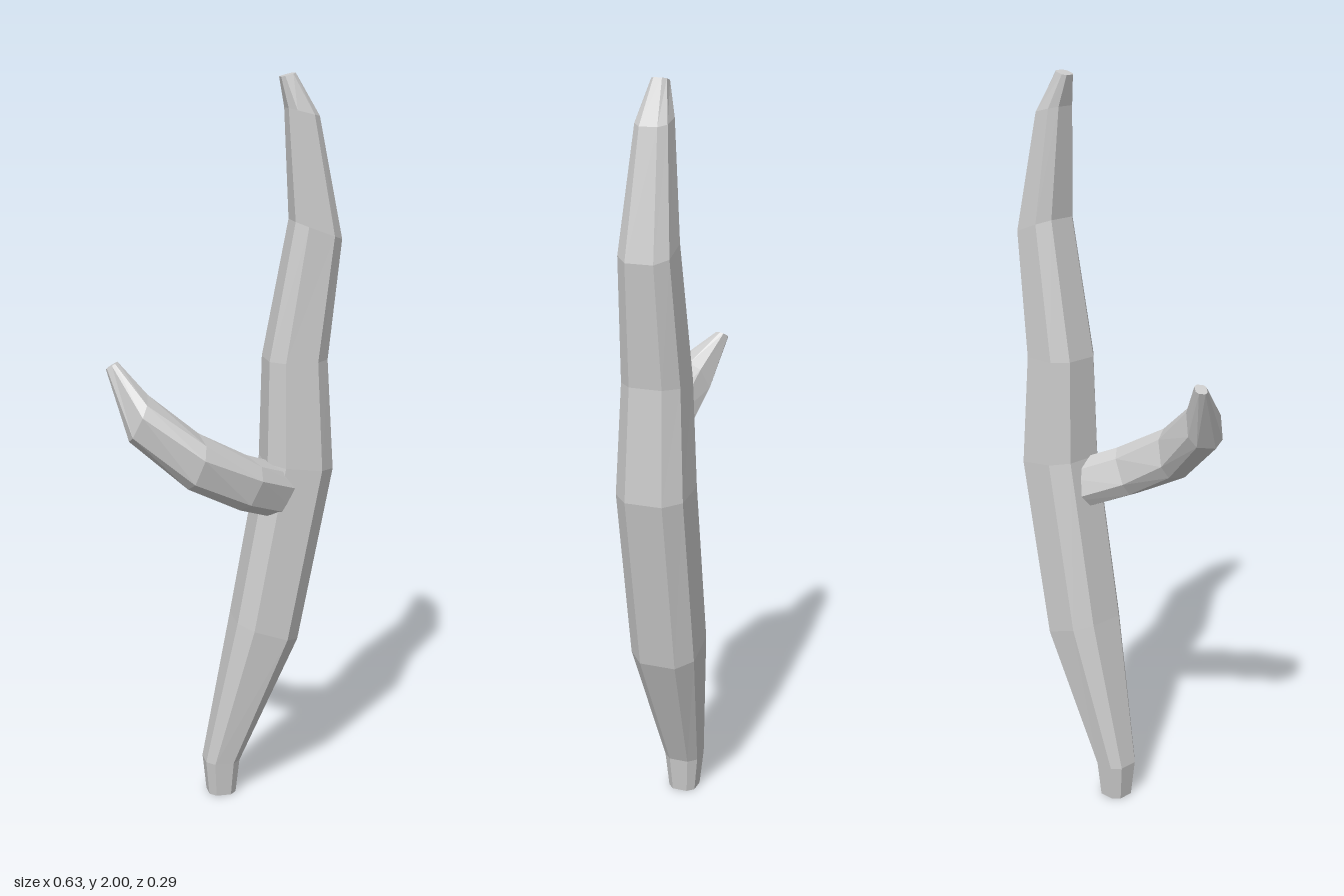
import * as THREE from 'three';

// Square section with cut corners, as [side, up] factors
const k = 0.55;
const SECTION = [[1, -k], [1, k], [k, 1], [-k, 1], [-1, k], [-1, -k], [-k, -1], [k, -1]];

// Joins rings { p: centre, d: direction, r: half width } into a closed faceted limb
function limb(name, rings, ref, roll, material) {
  const n = SECTION.length, pos = [], idx = [];
  const c = Math.cos(roll), s = Math.sin(roll);
  for (const { p, d, r } of rings) {
    const dir = new THREE.Vector3(...d).normalize();
    const side = new THREE.Vector3().crossVectors(ref, dir).normalize();
    const up = new THREE.Vector3().crossVectors(dir, side);
    for (const [a, b] of SECTION) {
      const v = new THREE.Vector3(...p)
        .addScaledVector(side, r * (a * c + b * s))
        .addScaledVector(up, r * (b * c - a * s));
      pos.push(v.x, v.y, v.z);
    }
  }
  for (let i = 0; i < rings.length - 1; i++) {
    for (let j = 0; j < n; j++) {
      const a = i * n + j, b = i * n + (j + 1) % n;
      idx.push(a, b, b + n, a, b + n, a + n);
    }
  }
  // End caps
  const last = (rings.length - 1) * n;
  for (let j = 1; j < n - 1; j++) {
    idx.push(0, j + 1, j, last, last + j, last + j + 1);
  }
  const indexed = new THREE.BufferGeometry();
  indexed.setAttribute('position', new THREE.Float32BufferAttribute(pos, 3));
  indexed.setIndex(idx);
  const geometry = indexed.toNonIndexed();
  geometry.computeVertexNormals();
  const mesh = new THREE.Mesh(geometry, material);
  mesh.name = name;
  return mesh;
}

export function createModel() {
  const group = new THREE.Group();
  group.name = 'crookedStick';
  const wood = new THREE.MeshStandardMaterial({ color: 0xcccccc, flatShading: true });

  // Main stem: x, y, half width, lean of the ring towards +x
  const stem = [
    [-0.007, 0, 0.038, 0],
    [-0.007, 0.1, 0.048, 0.02],
    [0.115, 0.49, 0.09, 0.33],
    [0.203, 0.96, 0.092, 0.12],
    [0.197, 1.25, 0.08, 0],
    [0.25, 1.595, 0.068, 0.36],
    [0.21, 1.9, 0.043, 0.24],
    [0.17, 1.994, 0.02, -0.25],
  ].map(([x, y, r, t]) => ({ p: [x, y, -0.05], d: [Math.sin(t), Math.cos(t), 0], r }));
  group.add(limb('stem', stem, new THREE.Vector3(1, 0, 0), 0, wood));

  // Side branch, curving forward and then up to its tip
  const branch = [
    { p: [0.19, 0.87, -0.05], d: [-0.15, 0.06, 0.1], r: 0.066 },
    { p: [0.035, 0.935, 0.042], d: [-0.115, 0.05, 0.06], r: 0.066 },
    { p: [-0.107, 1.01, 0.072], d: [-0.14, 0.045, 0.025], r: 0.066 },
    { p: [-0.245, 1.125, 0.035], d: [-0.11, 0.05, -0.01], r: 0.058 },
    { p: [-0.301, 1.252, -0.045], d: [-0.06, 0.1, -0.02], r: 0.016 },
  ];
  group.add(limb('branch', branch, new THREE.Vector3(0, 1, 0), 0.26, wood));

  return group;
}
